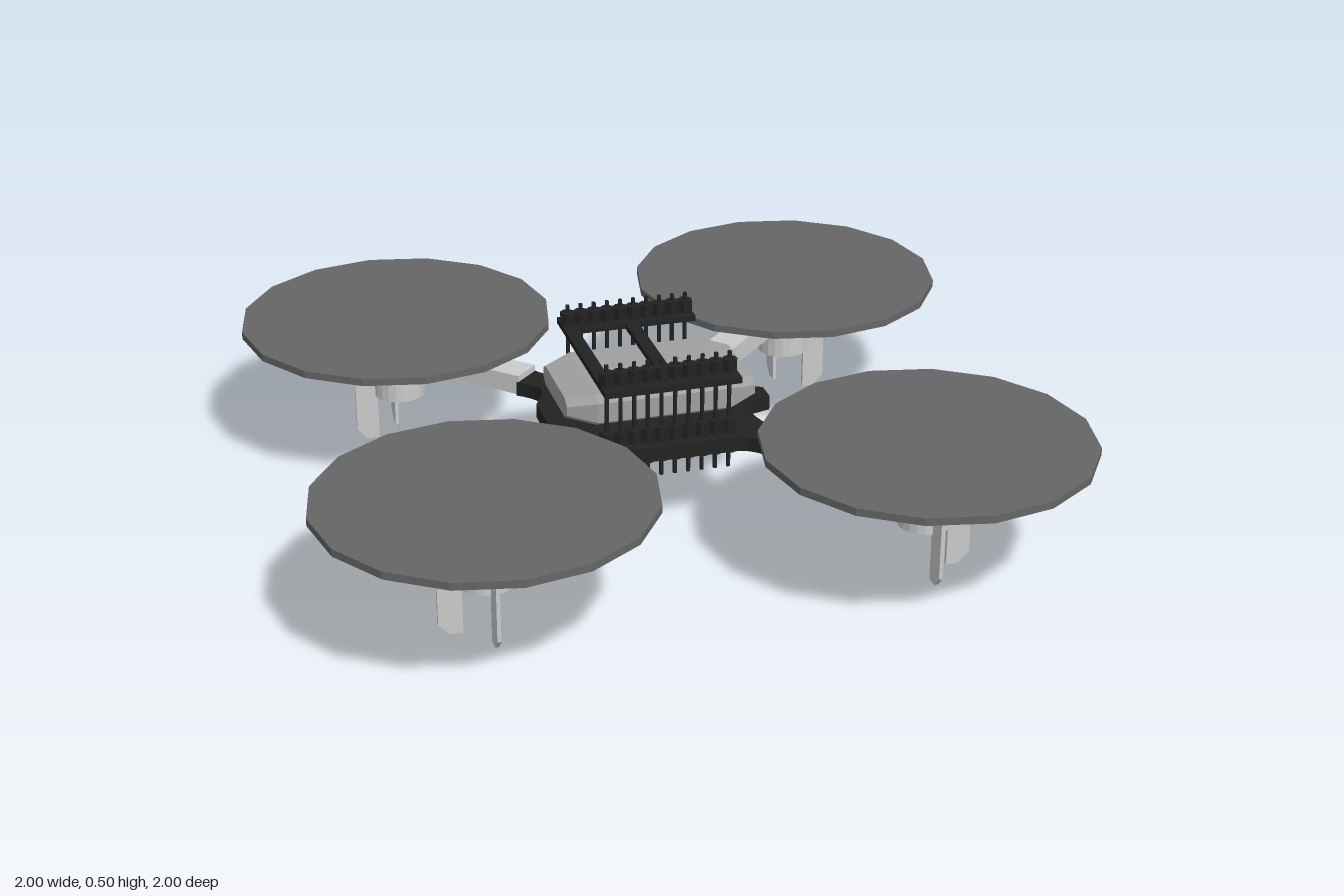
import * as THREE from 'three';
import { ConvexGeometry } from 'three/addons/geometries/ConvexGeometry.js';

const mat = (color) => new THREE.MeshStandardMaterial({ color, flatShading: true });
const light = mat(0xcccccc), cellGrey = mat(0xa0a0a0), discGrey = mat(0x666666), black = mat(0x222222);

function add(parent, name, geometry, material, x = 0, y = 0, z = 0) {
  const mesh = new THREE.Mesh(geometry, material);
  mesh.name = name;
  mesh.position.set(x, y, z);
  parent.add(mesh);
  return mesh;
}

// Main board: rectangle with four flared arm stubs and two end tabs, drawn in plan
function boardGeometry() {
  const s = new THREE.Shape();
  s.moveTo(-0.17, 0.25);
  s.lineTo(0.17, 0.25);
  s.quadraticCurveTo(0.215, 0.255, 0.24, 0.305);
  s.lineTo(0.305, 0.24);
  s.quadraticCurveTo(0.25, 0.2, 0.245, 0.055);
  s.lineTo(0.33, 0.03);
  s.lineTo(0.33, -0.03);
  s.lineTo(0.245, -0.055);
  s.quadraticCurveTo(0.25, -0.2, 0.305, -0.24);
  s.lineTo(0.24, -0.305);
  s.quadraticCurveTo(0.215, -0.255, 0.17, -0.25);
  s.lineTo(-0.17, -0.25);
  s.quadraticCurveTo(-0.215, -0.255, -0.24, -0.305);
  s.lineTo(-0.305, -0.24);
  s.quadraticCurveTo(-0.25, -0.2, -0.25, -0.16);
  s.lineTo(-0.285, -0.09);
  s.lineTo(-0.285, 0.09);
  s.lineTo(-0.25, 0.16);
  s.quadraticCurveTo(-0.25, 0.2, -0.305, 0.24);
  s.lineTo(-0.24, 0.305);
  s.quadraticCurveTo(-0.215, 0.255, -0.17, 0.25);
  return new THREE.ExtrudeGeometry(s, { depth: 0.04, bevelEnabled: false, curveSegments: 6 }).rotateX(-Math.PI / 2);
}

// Battery: octagonal section along x, shrinking at both ends
function batteryGeometry() {
  const pts = [];
  for (const [x, hz, hy] of [[0.18, 0.165, 0.043], [0.255, 0.13, 0.028]])
    for (const sx of [-1, 1]) for (const sy of [-1, 1]) for (const sz of [-1, 1]) {
      pts.push(new THREE.Vector3(sx * x, sy * hy, sz * (hz - 0.025)));
      pts.push(new THREE.Vector3(sx * x, sy * (hy - 0.016), sz * hz));
    }
  return new ConvexGeometry(pts);
}

// Leg plate: tall thin blade with its outer lower corner cut
function legGeometry() {
  const s = new THREE.Shape();
  s.moveTo(0.064, 0);
  s.lineTo(0.098, 0);
  s.lineTo(0.126, 0.03);
  s.lineTo(0.126, 0.3);
  s.lineTo(0.116, 0.31);
  s.lineTo(0.064, 0.31);
  return new THREE.ExtrudeGeometry(s, { depth: 0.01, bevelEnabled: false }).translate(0, 0, -0.005);
}

// One arm built along the +x +z diagonal, turned into place by the caller
function rotorArm() {
  const g = new THREE.Group();
  g.name = 'rotorArm';
  const c = 0.57;

  const arm = add(g, 'armSleeve', new THREE.BoxGeometry(0.37, 0.055, 0.085), light, 0.4, 0.263, 0.4);
  arm.rotation.y = -Math.PI / 4;

  // Open holder tube around the motor
  const tube = [[0.058, 0.13], [0.071, 0.13], [0.071, 0.31], [0.058, 0.31], [0.058, 0.13]]
    .map(([r, y]) => new THREE.Vector2(r, y));
  add(g, 'motorHolder', new THREE.LatheGeometry(tube, 20), light, c, 0, c);
  add(g, 'motor', new THREE.CylinderGeometry(0.058, 0.058, 0.16, 20), discGrey, c, 0.225, c);
  add(g, 'rotorHub', new THREE.CylinderGeometry(0.05, 0.05, 0.05, 16), discGrey, c, 0.325, c);
  add(g, 'rotorDisc', new THREE.CylinderGeometry(0.43, 0.43, 0.02, 16), discGrey, c, 0.355, c);

  add(g, 'legX', legGeometry(), light, c, 0, c);
  add(g, 'legZ', legGeometry(), light, c, 0, c).rotation.y = -Math.PI / 2;
  return g;
}

// A row of ten pins with notched housings, centred on one z
function pinRow(z) {
  const g = new THREE.Group();
  g.name = 'pinRow';
  const pitch = 0.0365;
  const r = pitch / 2 / Math.cos(Math.PI / 8);
  const housing = (h) => new THREE.CylinderGeometry(r, r, h, 8).rotateY(Math.PI / 8);
  for (let i = 0; i < 10; i++) {
    const x = -0.004 + (i - 4.5) * pitch;
    add(g, 'pin', new THREE.BoxGeometry(0.009, 0.33, 0.009), black, x, 0.335, z);
    add(g, 'upperHousing', housing(0.04), black, x, 0.46, z);
    add(g, 'lowerHousing', housing(0.04), black, x, 0.292, z);
    add(g, 'underHousing', housing(0.02), black, x, 0.226, z);
  }
  return g;
}

export function createModel() {
  const model = new THREE.Group();
  model.name = 'quadcopter';

  add(model, 'mainBoard', boardGeometry(), black, 0, 0.233, 0);
  add(model, 'battery', batteryGeometry(), cellGrey, 0, 0.347, 0);

  for (let i = 0; i < 4; i++) {
    const arm = rotorArm();
    arm.rotation.y = i * Math.PI / 2;
    model.add(arm);
  }

  // Upper frame: a bar over each pin row, joined by two straps
  for (const s of [-1, 1]) {
    model.add(pinRow(s * 0.203));
    add(model, 'frameBar', new THREE.BoxGeometry(0.365, 0.016, 0.09), black, -0.003, 0.437, s * 0.21);
  }
  for (const x of [-0.168, 0])
    add(model, 'frameStrap', new THREE.BoxGeometry(0.035, 0.016, 0.36), black, x, 0.437, 0);

  return model;
}
